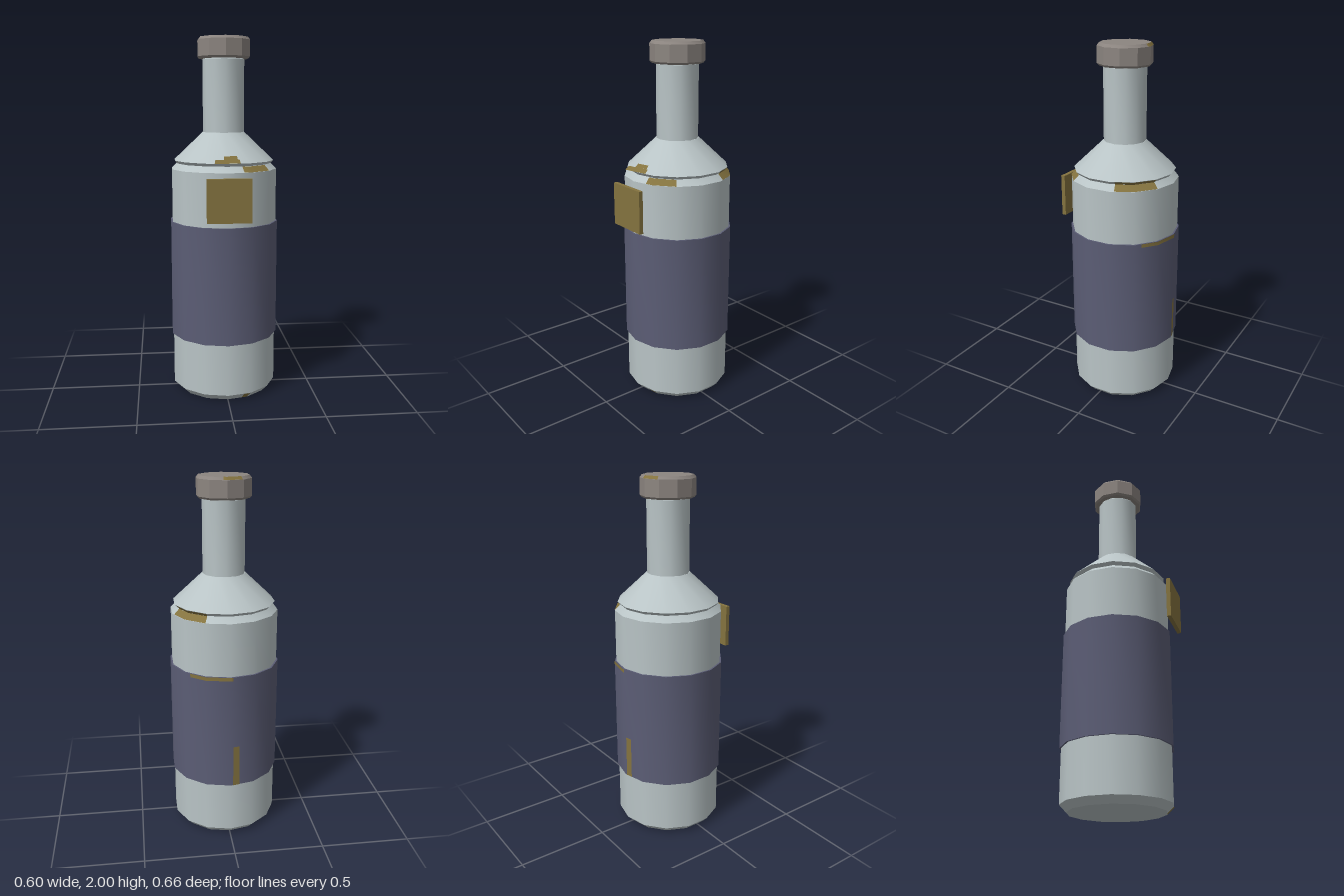
import * as THREE from 'three';
import { toCreasedNormals } from 'three/addons/utils/BufferGeometryUtils.js';

const SIDES = 14;
const AXIS_Z = -0.021;

const material = (name, color) => {
  const m = new THREE.MeshStandardMaterial({ color });
  m.name = name;
  return m;
};

// Solid of revolution from [radius, y] pairs, bottom to top
function turned(name, profile, sides, mat) {
  const points = profile.map(([r, y]) => new THREE.Vector2(r, y));
  const geometry = toCreasedNormals(new THREE.LatheGeometry(points, sides), 0.55);
  const mesh = new THREE.Mesh(geometry, mat);
  mesh.name = name;
  return mesh;
}

// Thin patch lying on a many-sided cone, between two angles in degrees
function patch(name, from, to, [r0, y0], [r1, y1], sides, mat) {
  const step = (Math.PI * 2) / sides;
  const a = THREE.MathUtils.degToRad(from), b = THREE.MathUtils.degToRad(to);
  const angles = [a];
  for (let k = Math.floor(a / step) + 1; k * step < b; k++) angles.push(k * step);
  angles.push(b);
  const positions = [], index = [];
  const length = Math.hypot(r1 - r0, y1 - y0);
  const out = 0.002 * (y1 - y0) / length, up = 0.002 * (r0 - r1) / length;
  angles.forEach((t, i) => {
    const facet = Math.cos(step / 2) / Math.cos((t % step) - step / 2);
    for (const [r, y] of [[r0, y0], [r1, y1]]) {
      const q = (r + out) * facet;
      positions.push(q * Math.sin(t), y + up, q * Math.cos(t));
    }
    if (i) {
      const k = 2 * i - 2;
      index.push(k, k + 2, k + 1, k + 1, k + 2, k + 3);
    }
  });
  const geometry = new THREE.BufferGeometry();
  geometry.setAttribute('position', new THREE.Float32BufferAttribute(positions, 3));
  geometry.setIndex(index);
  geometry.computeVertexNormals();
  const mesh = new THREE.Mesh(geometry, mat);
  mesh.name = name;
  return mesh;
}

export function createModel() {
  const glass = material('pale glass', 0xb9c4c6);
  const band = material('slate label', 0x5b5d75);
  const capGrey = material('warm grey cap', 0x8c8580);
  const gold = material('old gold', 0x84733f);

  const model = new THREE.Group();
  model.name = 'bottle';
  const bottle = new THREE.Group();
  bottle.name = 'turnedParts';
  bottle.position.z = AXIS_Z;
  model.add(bottle);

  // Glass parts, label band and cap
  bottle.add(
    turned('body', [[0, 0], [0.262, 0], [0.298, 0.037], [0.298, 1.28], [0.262, 1.315], [0, 1.315]], SIDES, glass),
    turned('shoulder', [[0, 1.312], [0.268, 1.312], [0.282, 1.328], [0.118, 1.483], [0, 1.483]], SIDES, glass),
    turned('neck', [[0.116, 1.47], [0.116, 1.88], [0.109, 1.89]], 12, glass),
    turned('label', [[0.29, 0.33], [0.307, 0.33], [0.307, 0.985], [0.29, 0.985]], SIDES, band),
    turned('cap', [[0, 1.884], [0.14, 1.884], [0.149, 1.895], [0.149, 1.985], [0.137, 2], [0, 2]], 10, capGrey),
  );

  // Worn gold marks along the rims
  const marks = [
    ['frontRimMark', 17, 51, [0.298, 1.28], [0.268, 1.309], SIDES],
    ['backRimMark', 108, 154, [0.298, 1.28], [0.268, 1.309], SIDES],
    ['backShoulderMark', 108, 154, [0.268, 1.312], [0.282, 1.328], SIDES],
    ['shoulderMark', -14, 14, [0.282, 1.328], [0.262, 1.347], SIDES],
    ['shoulderMarkTip', -5, 12, [0.262, 1.347], [0.244, 1.364], SIDES],
    ['labelRimMark', 136, 182, [0.307, 0.965], [0.307, 0.985], SIDES],
    ['labelStripe', 182.5, 189.5, [0.307, 0.33], [0.307, 0.57], SIDES],
    ['baseMark', 18, 25, [0.262, 0.002], [0.298, 0.037], SIDES],
    ['capRimMark', 172, 213, [0.149, 1.985], [0.137, 2], 10],
  ];
  for (const mark of marks) bottle.add(patch(...mark, gold));

  // Square plate standing just off the front
  const plate = new THREE.Mesh(new THREE.BoxGeometry(0.238, 0.235, 0.023), gold);
  plate.name = 'frontPlate';
  plate.position.set(0, 1.138, 0.315);
  model.add(plate);

  return model;
}
